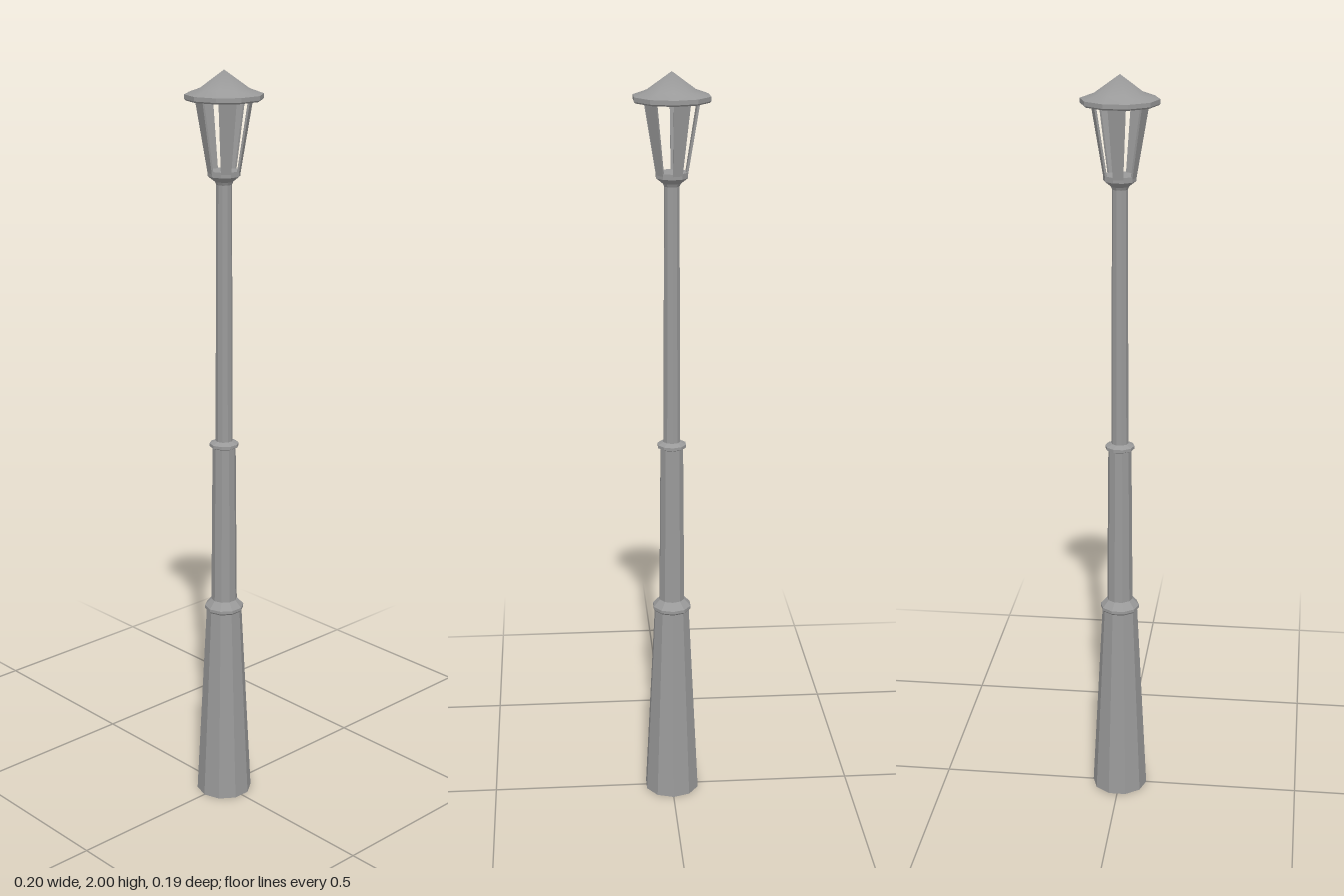
import * as THREE from 'three';
import { mergeVertices } from 'three/addons/utils/BufferGeometryUtils.js';

const SIDES = 10;
const COLOR = 0x9a9a9a;
const flat = new THREE.MeshStandardMaterial({ color: COLOR, flatShading: true, side: THREE.DoubleSide });
const smooth = new THREE.MeshStandardMaterial({ color: COLOR, side: THREE.DoubleSide });

// Ten-sided turned part from [radius, height] pairs, with corners on the x axis
function turned(name, profile, material = flat) {
  let geometry = new THREE.LatheGeometry(profile.map(([r, y]) => new THREE.Vector2(r, y)), SIDES);
  geometry.rotateY(Math.PI / 2);
  // Share the corners so that smooth parts round over at the tip
  geometry.deleteAttribute('uv');
  geometry.deleteAttribute('normal');
  geometry = mergeVertices(geometry);
  geometry.computeVertexNormals();
  const mesh = new THREE.Mesh(geometry, material);
  mesh.name = name;
  return mesh;
}

// Tapered slat that follows one face of the ten-sided lantern
function lanternSlat(angle, bottom, top) {
  const geometry = new THREE.BoxGeometry(1, 1, 1);
  const p = geometry.attributes.position;
  const half = Math.PI / SIDES;
  for (let i = 0; i < p.count; i++) {
    const end = p.getY(i) > 0 ? top : bottom;
    const r = end.r - (p.getZ(i) > 0 ? 0 : 0.006);
    p.setXYZ(i, Math.sign(p.getX(i)) * r * Math.sin(half), end.y, r * Math.cos(half));
  }
  geometry.computeVertexNormals();
  const mesh = new THREE.Mesh(geometry, flat);
  mesh.rotation.y = angle;
  return mesh;
}

export function createModel() {
  const lamp = new THREE.Group();
  lamp.name = 'streetLamp';

  // Post in three stages, each finished with a collar
  lamp.add(turned('base', [[0, 0], [0.076, 0], [0.048, 0.55]]));
  lamp.add(turned('lowerCollar', [[0.048, 0.55], [0.053, 0.555], [0.053, 0.563], [0.035, 0.582]]));
  lamp.add(turned('middlePost', [[0.035, 0.582], [0.031, 1.018]]));
  lamp.add(turned('upperCollar', [[0.031, 1.018], [0.039, 1.022], [0.039, 1.03], [0.023, 1.037]]));
  lamp.add(turned('upperPost', [[0.023, 1.037], [0.02, 1.72]]));

  // Lantern cup
  lamp.add(turned('lanternCup', [[0.02, 1.716], [0.024, 1.724], [0.042, 1.738], [0.042, 1.752], [0, 1.752]]));

  // Slats on every other face, with one centred at the back
  const slats = new THREE.Group();
  slats.name = 'lanternSlats';
  for (let i = 0; i < 5; i++) {
    slats.add(lanternSlat(Math.PI + (i * Math.PI * 2) / 5, { r: 0.042, y: 1.746 }, { r: 0.073, y: 1.928 }));
  }
  lamp.add(slats);

  // Roof: flat underside and rim, then a smoothly shaded cap
  lamp.add(turned('roofRim', [[0, 1.926], [0.096, 1.926], [0.1, 1.93], [0.1, 1.941]]));
  lamp.add(turned('roofCap', [[0.1, 1.941], [0.064, 1.954], [0, 2]], smooth));

  return lamp;
}
